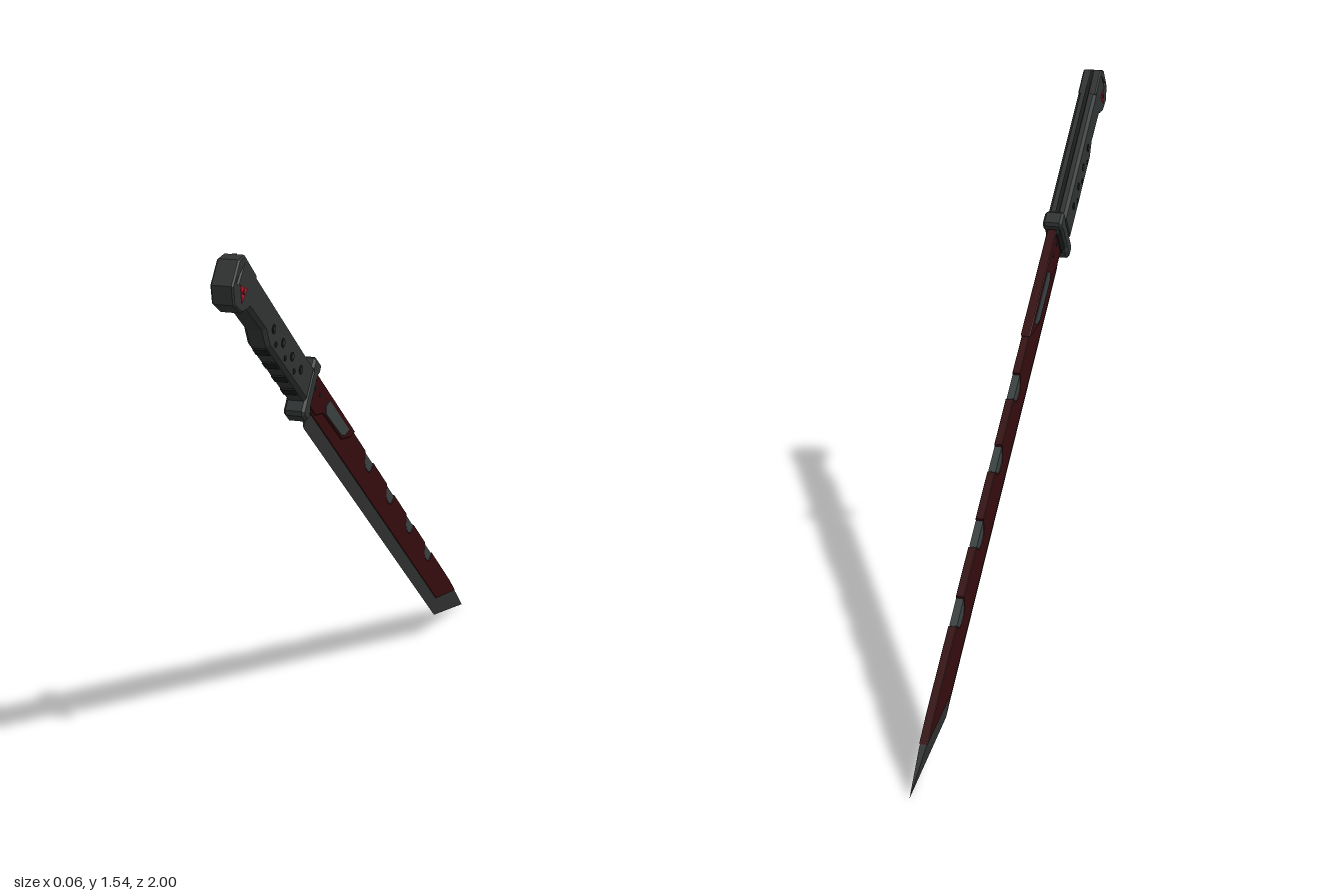
import * as THREE from 'three';

const mat = (name, color) => Object.assign(new THREE.MeshStandardMaterial({ color }), { name });

export function createModel() {
  const grey = mat('gripGrey', 0x303333);
  const steel = mat('bladeSteel', 0x313232);
  const darkRed = mat('darkRed', 0x340b0d);
  const black = mat('black', 0x161717);
  const slate = mat('slate', 0x394040);
  const brightRed = mat('brightRed', 0xb0182a);

  // Local frame: x runs from pommel to tip, y towards the spine, z is thickness
  const sword = new THREE.Group();
  sword.name = 'sword';

  const add = (name, geometry, material, x = 0, y = 0) => {
    const mesh = new THREE.Mesh(geometry, material);
    mesh.name = name;
    mesh.position.set(x, y, 0);
    sword.add(mesh);
    return mesh;
  };
  const shapeOf = pts => new THREE.Shape(pts.map(p => new THREE.Vector2(...p)));

  // Outline extruded to a half thickness, with chamfered edges inside the outline
  const plate = (name, pts, half, bevel, material, hole) => {
    const shape = shapeOf(pts);
    if (hole) shape.holes.push(shapeOf(hole));
    const geo = new THREE.ExtrudeGeometry(shape, {
      depth: 2 * (half - bevel), bevelEnabled: bevel > 0, bevelSegments: 1,
      bevelThickness: bevel, bevelSize: bevel, bevelOffset: -bevel,
    });
    geo.translate(0, 0, -(half - bevel));
    return add(name, geo, material);
  };
  // Pin through the whole thickness, showing on both sides
  const pin = (name, x, y, r, half, sides, material) => {
    const geo = new THREE.CylinderGeometry(r, r, 2 * half, sides);
    geo.rotateX(Math.PI / 2);
    return add(name, geo, material, x, y);
  };

  // Blade core
  const h = 0.009;
  plate('bladeCore', [[0, -0.05], [1.494, -0.052], [1.69, 0.046], [0, 0.046]], h, 0, steel);

  // Ground cutting edge, thinning to nothing along the bottom and the point
  const inner = [[0.03, -0.05], [1.494, -0.052], [1.69, 0.046]];
  const outer = [[0.05, -0.091], [1.539, -0.091], [1.83, 0.048]];
  const edge = [];
  const tri = (a, b, c) => edge.push(...a, ...b, ...c);
  for (const s of [1, -1]) {
    const side = (a, b, c) => (s > 0 ? tri(a, b, c) : tri(a, c, b));
    for (let i = 0; i < 2; i++) {
      const a = [...inner[i], s * h], b = [...outer[i], 0];
      const c = [...outer[i + 1], 0], d = [...inner[i + 1], s * h];
      side(a, b, c);
      side(a, c, d);
    }
  }
  tri([...inner[2], h], [...outer[2], 0], [...inner[2], -h]);
  tri([...inner[0], h], [...inner[0], -h], [...outer[0], 0]);
  const edgeGeo = new THREE.BufferGeometry();
  edgeGeo.setAttribute('position', new THREE.Float32BufferAttribute(edge, 3));
  edgeGeo.computeVertexNormals();
  add('cuttingEdge', edgeGeo, steel);

  // Red blade cladding with notches along the spine
  const notches = [0.572, 0.815, 1.056, 1.297];
  const cladding = [[0.015, -0.049], [1.49, -0.05], [1.68, 0.046], [1.6, 0.052]];
  for (const u of [...notches].reverse()) {
    cladding.push([u + 0.045, 0.052], [u + 0.034, 0.022], [u + 0.018, 0.012],
      [u - 0.014, 0.012], [u - 0.03, 0.022], [u - 0.045, 0.052]);
  }
  cladding.push([0.015, 0.052]);
  plate('bladeCladding', cladding, 0.0112, 0.001, darkRed);
  for (const u of notches) {
    plate('notchInsert', [[u - 0.04, 0.047], [u - 0.028, 0.022], [u - 0.013, 0.014],
      [u + 0.017, 0.014], [u + 0.032, 0.022], [u + 0.04, 0.047]], 0.0105, 0, slate);
  }

  // Thicker reinforcement by the guard, with a long inlay
  plate('spineReinforcement', [[0.01, -0.04], [0.08, -0.04], [0.13, -0.012], [0.31, -0.008],
    [0.37, 0.025], [0.4, 0.055], [0.01, 0.055]], 0.014, 0.002, darkRed);
  plate('longInlay', [[0.15, -0.005], [0.3, -0.001], [0.325, 0.012], [0.347, 0.039],
    [0.155, 0.039], [0.136, 0.012]], 0.0152, 0.001, slate);
  for (const u of [0.035, 0.08]) pin('bladePin', u, 0.018, 0.007, 0.0148, 8, black);
  add('spineClip', new THREE.BoxGeometry(0.02, 0.012, 0.022), black, 0.39, 0.048);

  // Guard and collar
  plate('guard', [[-0.045, -0.085], [-0.036, -0.095], [-0.004, -0.095], [0.006, -0.085],
    [0.006, -0.06], [-0.002, -0.05], [-0.002, 0.035], [0.006, 0.045], [0.006, 0.065],
    [-0.002, 0.073], [-0.04, 0.073], [-0.05, 0.065], [-0.05, 0.04], [-0.045, 0.03]],
  0.029, 0.007, grey);
  plate('collar', [[-0.01, -0.055], [0.022, -0.045], [0.022, 0.05], [-0.01, 0.05]],
    0.018, 0.003, black);

  // Grip with a finger recess, and the tang showing along its back
  plate('grip', [[-0.55, -0.06], [-0.53, -0.04], [-0.41, -0.037], [-0.365, -0.058],
    [-0.04, -0.056], [-0.04, 0.043], [-0.55, 0.049]], 0.029, 0.009, grey);
  plate('tang', [[-0.63, 0.02], [-0.04, 0.02], [-0.04, 0.047], [-0.63, 0.055]],
    0.006, 0, black);
  for (let i = 0; i < 4; i++) {
    const u = -0.363 + i * 0.077;
    pin('gripStud', u, -0.007, 0.012, 0.0305, 10, black);
    pin('gripStudCap', u, -0.007, 0.007, 0.0315, 10, grey);
    if (i < 3) pin('lowerStud', u + 0.035, -0.032, 0.008, 0.0302, 8, black);
    add('gripRidge', new THREE.BoxGeometry(0.03, 0.012, 0.036), black, u + 0.025, -0.056);
  }

  // Pommel with a lanyard slot and a red triangular badge on each side
  plate('pommel', [[-0.655, -0.044], [-0.62, -0.076], [-0.57, -0.07], [-0.535, -0.042],
    [-0.535, 0.049], [-0.63, 0.053], [-0.655, 0.026]], 0.029, 0.004, grey,
  [[-0.644, -0.022], [-0.629, -0.022], [-0.625, 0.034], [-0.637, 0.034]]);
  pin('badge', -0.592, -0.026, 0.026, 0.0305, 3, brightRed).rotation.z = 0.3;
  pin('badgeCentre', -0.592, -0.026, 0.009, 0.0312, 3, black).rotation.z = 0.3 + Math.PI;

  // Tilt the blade downwards and point it to the back
  sword.rotation.z = -THREE.MathUtils.degToRad(38.5);
  sword.position.set(-0.464, 1.102, 0);
  const model = new THREE.Group();
  model.name = 'model';
  const turn = new THREE.Group();
  turn.name = 'swordPose';
  turn.rotation.y = Math.PI / 2;
  turn.add(sword);
  model.add(turn);
  return model;
}
